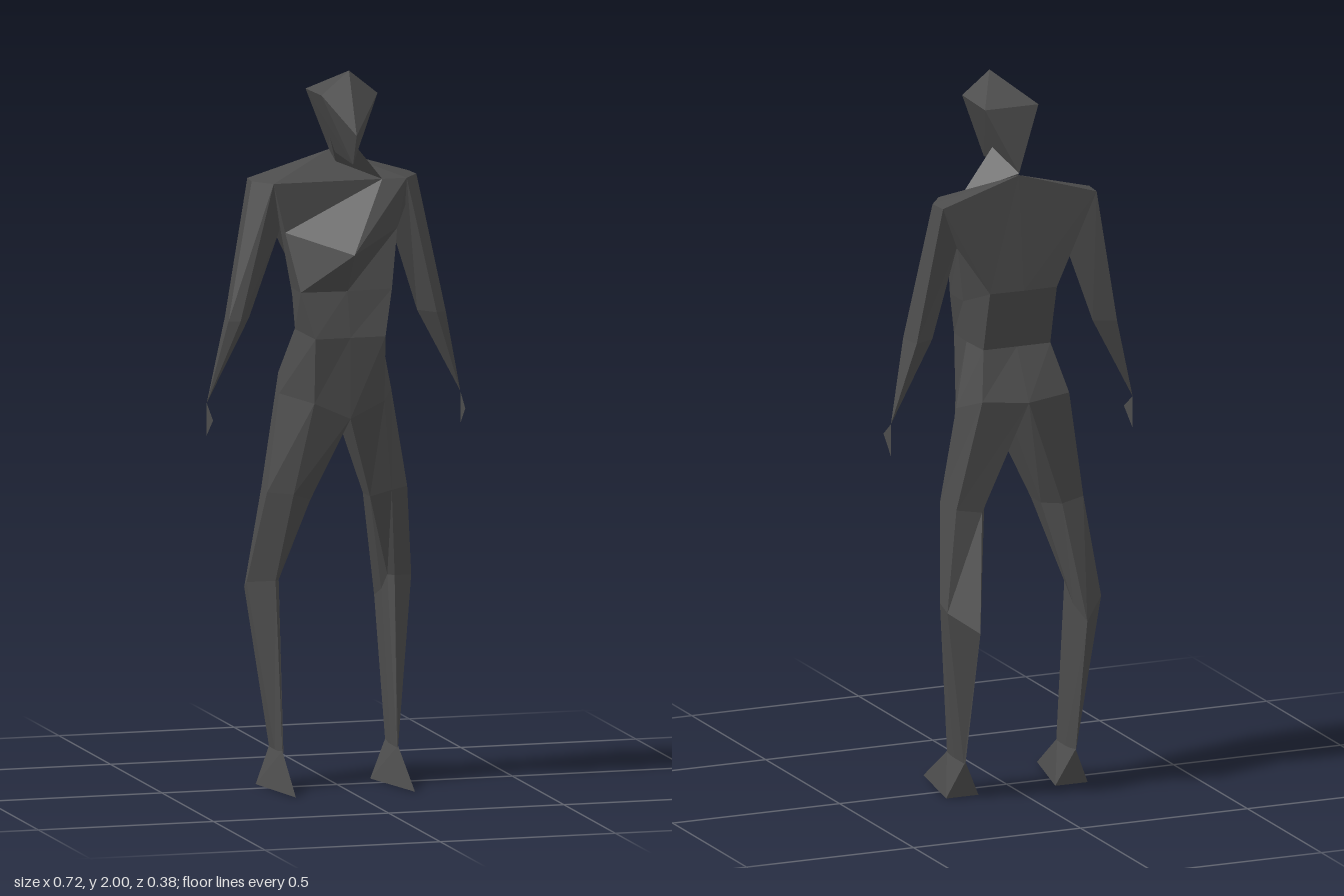
import * as THREE from 'three';
import { ConvexGeometry } from 'three/addons/geometries/ConvexGeometry.js';

const grey = new THREE.MeshStandardMaterial({ color: 0x4c4c4c, side: THREE.DoubleSide });
grey.name = 'charcoal';
grey.flatShading = true;

const V = (p) => new THREE.Vector3(...p);
// Mirror points across x and reverse their order so faces stay outward.
const mirror = (pts) => pts.map(([x, y, z]) => [-x, y, z]).reverse();

function surface(tris) {
  const pos = [];
  for (const t of tris) {
    const [a, b, c] = t.map(V);
    // skip collapsed triangles
    if (b.clone().sub(a).cross(c.clone().sub(a)).length() < 1e-9) continue;
    pos.push(...t.flat());
  }
  const g = new THREE.BufferGeometry();
  g.setAttribute('position', new THREE.Float32BufferAttribute(pos, 3));
  g.computeVertexNormals();
  return g;
}

// Joins closed cross-sections listed from top to bottom.
function loft(rings) {
  const tris = [];
  for (let r = 0; r < rings.length - 1; r++) {
    const u = rings[r], l = rings[r + 1], n = u.length;
    for (let i = 0; i < n; i++) {
      const j = (i + 1) % n;
      tris.push([u[i], l[i], u[j]], [u[j], l[i], l[j]]);
    }
  }
  return tris;
}

export function createModel() {
  const model = new THREE.Group();
  model.name = 'figure';
  const add = (name, geometry) => {
    const m = new THREE.Mesh(geometry, grey);
    m.name = name;
    model.add(m);
  };
  const hull = (name, pts) => add(name, new ConvexGeometry(pts.map(V)));

  // Torso half-sections: front centre, front side, side, back side, back centre
  const halves = [
    [[0.12, 1.68, 0.03], [0.19, 1.68, 0.03], [0.235, 1.68, -0.03], [0.23, 1.68, -0.09], [0, 1.75, -0.085]],
    [[0, 1.495, 0.17], [0.16, 1.545, 0.04], [0.155, 1.54, -0.02], [0.1, 1.43, -0.115], [0, 1.43, -0.118]],
    [[0, 1.385, 0.1], [0.13, 1.385, 0.09], [0.13, 1.385, 0], [0.1, 1.34, -0.09], [0, 1.34, -0.095]],
    [[0, 1.26, 0.13], [0.1, 1.26, 0.13], [0.12, 1.27, 0], [0.1, 1.26, -0.07], [0, 1.26, -0.07]],
    [[0, 1.035, 0.13], [0.1, 1.08, 0.12], [0.16, 1.09, -0.02], [0.13, 1.13, -0.13], [0, 1.12, -0.152]],
  ];
  const rings = halves.map((h) => [...h, ...mirror(h.slice(1, 4))]);
  const top = rings[0], nape = top[4];
  const shoulderCap = [5, 6, 7, 0, 1, 2].map((i) => [top[i], top[(i + 1) % 8], nape]);
  add('torso', surface([...loft(rings), ...shoulderCap]));

  // Head and leaning neck
  hull('head', [
    [0, 2, 0.115], [0.08, 1.935, 0.12], [-0.08, 1.935, 0.12], [0.08, 1.93, -0.035],
    [-0.08, 1.93, -0.035], [0, 1.83, 0.19], [0, 1.745, 0.155], [0, 1.755, -0.085],
  ]);
  hull('neck', [[0.12, 1.68, 0.03], [0, 1.755, -0.085], [-0.06, 1.9, 0.06], [0.02, 1.69, -0.06]]);

  // Leg sections: inner front, front, outer, outer back, back, inner back
  const hip = [...halves[4], [0, 1.04, -0.03]];
  const leg = [
    hip,
    [[0.085, 0.8, 0.03], [0.14, 0.82, 0.055], [0.2, 0.82, 0], [0.19, 0.82, -0.09], [0.12, 0.81, -0.105], [0.085, 0.8, -0.04]],
    [[0.155, 0.57, -0.04], [0.17, 0.57, -0.02], [0.235, 0.56, -0.08], [0.23, 0.54, -0.12], [0.16, 0.49, -0.185], [0.155, 0.52, -0.1]],
    [[0.162, 0.1, 0.03], [0.165, 0.1, 0.03], [0.169, 0.1, -0.03], [0.168, 0.1, -0.09], [0.165, 0.1, -0.095], [0.161, 0.1, -0.03]],
  ];
  // Arm sections: front, outer, back, inner, closing at the wrist
  const wrist = [0.362, 1.07, -0.035];
  const arm = [
    [[0.19, 1.68, 0.03], [0.235, 1.68, -0.03], [0.23, 1.68, -0.09], [0.158, 1.545, -0.02]],
    [[0.28, 1.3, 0.015], [0.31, 1.3, 0], [0.3, 1.3, -0.07], [0.24, 1.3, -0.04]],
    [wrist, wrist, wrist, wrist],
  ];
  const hand = [wrist, [0.36, 1.03, 0.02], [0.362, 0.98, -0.035]];
  const foot = [[0.165, 0.105, 0.03], [0.165, 0.105, -0.095], [0.17, 0, 0.178], [0.115, 0, -0.07], [0.212, 0, -0.07]];

  for (const side of ['left', 'right']) {
    const m = side === 'left' ? (p) => p : mirror;
    add(side + 'Leg', surface(loft(leg.map(m))));
    add(side + 'Arm', surface(loft(arm.map(m))));
    add(side + 'Hand', surface([m(hand)]));
    hull(side + 'Foot', m(foot));
  }
  return model;
}
